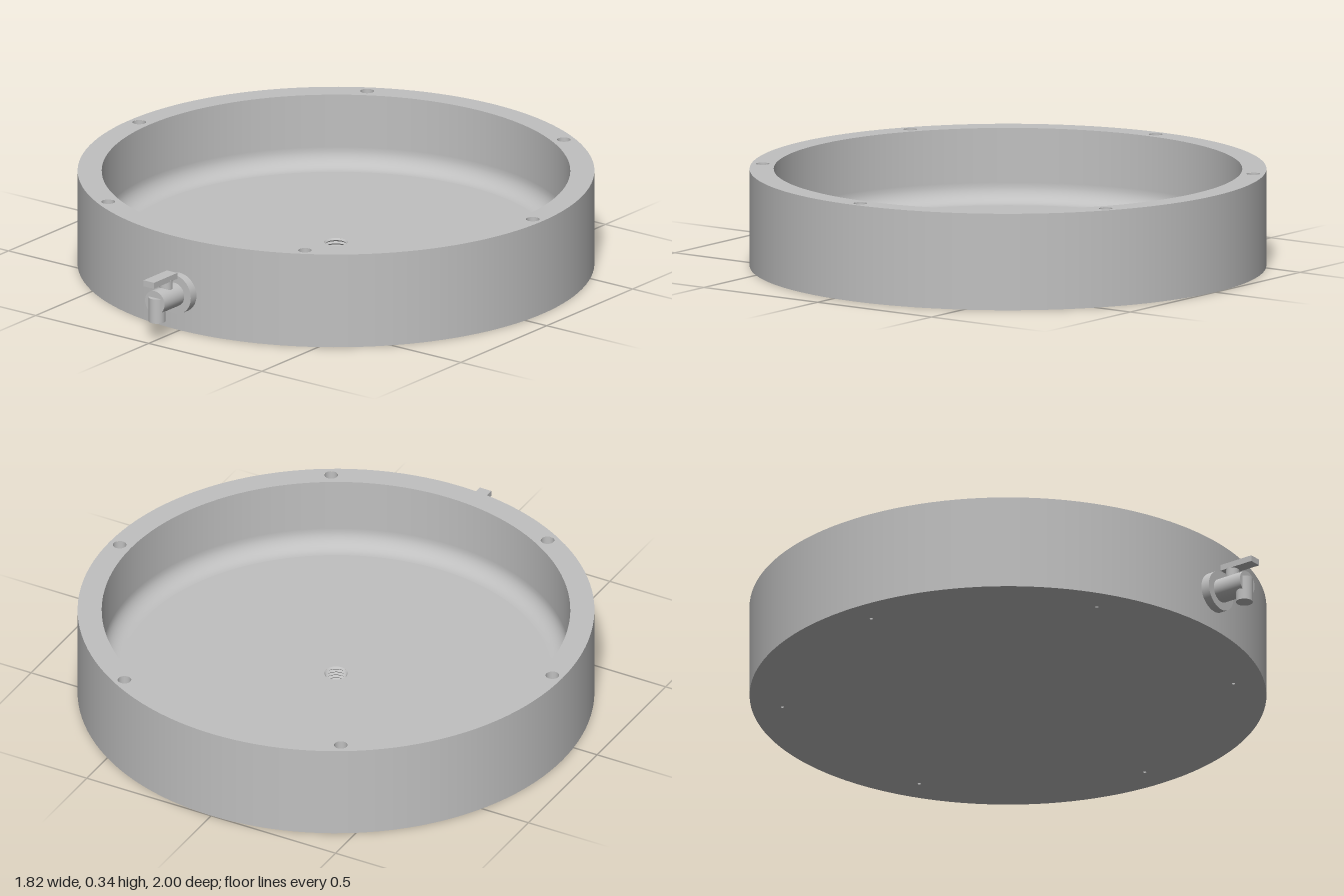
import * as THREE from 'three';

export function createModel() {
  const model = new THREE.Group();
  const metal = new THREE.MeshStandardMaterial({ color: 0xc0c0c0 });
  metal.name = 'grey metal';

  const H = 0.345, R = 0.91, INNER = 0.825, FLOOR = 0.08, FILLET = 0.065, BORE = 0.042;

  const add = (parent, name, geometry, x = 0, y = 0, z = 0) => {
    const mesh = new THREE.Mesh(geometry, metal);
    mesh.name = name;
    mesh.position.set(x, y, z);
    parent.add(mesh);
    return mesh;
  };
  const lathe = (points, segments = 128) =>
    new THREE.LatheGeometry(points.map(([r, y]) => new THREE.Vector2(r, y)), segments);
  const circle = (Kind, x, y, r) => {
    const c = new Kind();
    c.absarc(x, y, r, 0, Math.PI * 2);
    return c;
  };
  // Six evenly spaced places on a circle
  const ringOfSix = (radius) => Array.from({ length: 6 }, (_, i) => {
    const a = i * Math.PI / 3;
    return [radius * Math.cos(a), radius * Math.sin(a)];
  });
  // Flat disc with six drilled holes
  const drilledDisc = (radius, holeCircle, holeRadius, innerRadius) => {
    const shape = circle(THREE.Shape, 0, 0, radius);
    if (innerRadius) shape.holes.push(circle(THREE.Path, 0, 0, innerRadius));
    for (const [x, y] of ringOfSix(holeCircle)) shape.holes.push(circle(THREE.Path, x, y, holeRadius));
    return new THREE.ShapeGeometry(shape, 64);
  };
  // Lining of a blind hole that opens upward
  const addHole = (parent, name, r, depth, x, y, z) => {
    const hole = new THREE.Group();
    hole.name = name;
    hole.position.set(x, y, z);
    add(hole, 'holeWall', lathe([[r, 0], [r, -depth]], 24));
    add(hole, 'holeEnd', lathe([[r, -depth], [0, -depth]], 24));
    parent.add(hole);
    return hole;
  };

  // Round pan
  const pan = new THREE.Group();
  pan.name = 'pan';
  pan.position.z = -0.09;
  model.add(pan);
  add(pan, 'outerWall', lathe([[R, 0], [R, H]]));
  add(pan, 'rim', drilledDisc(R, 0.87, 0.024, INNER).rotateX(-Math.PI / 2), 0, H, 0);
  add(pan, 'underside', drilledDisc(R, 0.8, 0.006).rotateX(Math.PI / 2));

  // Inner wall, rounded into the floor
  const wall = [[INNER, H], [INNER, FLOOR + FILLET + 0.005]];
  for (let i = 0; i <= 10; i++) {
    const a = i / 10 * Math.PI / 2;
    wall.push([INNER - FILLET + FILLET * Math.cos(a), FLOOR + FILLET - FILLET * Math.sin(a)]);
  }
  add(pan, 'innerWall', lathe(wall));
  add(pan, 'floor', lathe([[INNER - FILLET, FLOOR], [BORE, FLOOR]]));

  // Threaded bore in the middle of the floor
  for (let i = 0; i < 5; i++) {
    const y = FLOOR - i * 0.012;
    add(pan, 'threadUpper', lathe([[BORE, y], [BORE - 0.006, y - 0.006]], 32));
    add(pan, 'threadLower', lathe([[BORE - 0.006, y - 0.006], [BORE, y - 0.012]], 32));
  }
  add(pan, 'boreEnd', lathe([[BORE, FLOOR - 0.06], [0, FLOOR - 0.06]], 32));

  // Bolt holes in the rim and pin holes underneath
  for (const [x, z] of ringOfSix(0.87)) addHole(pan, 'boltHole', 0.024, 0.12, x, H, z);
  for (const [x, z] of ringOfSix(0.8)) addHole(pan, 'pinHole', 0.006, 0.03, x, 0, z).rotation.x = Math.PI;

  // Drain tap on the front
  const tap = new THREE.Group();
  tap.name = 'drainTap';
  tap.position.y = 0.142;
  model.add(tap);
  const cylinder = (r, length) => new THREE.CylinderGeometry(r, r, length, 40);
  add(tap, 'flange', cylinder(0.072, 0.055).rotateX(Math.PI / 2), 0, 0, 0.8225);
  add(tap, 'tapBody', cylinder(0.043, 0.115).rotateX(Math.PI / 2), 0, 0, 0.9075);
  add(tap, 'spout', cylinder(0.03, 0.09), 0, -0.027, 0.952);
  add(tap, 'valveStem', cylinder(0.024, 0.05), 0, 0.045, 0.9);
  add(tap, 'leverHandle', new THREE.BoxGeometry(0.046, 0.022, 0.136), 0, 0.077, 0.932);

  return model;
}
